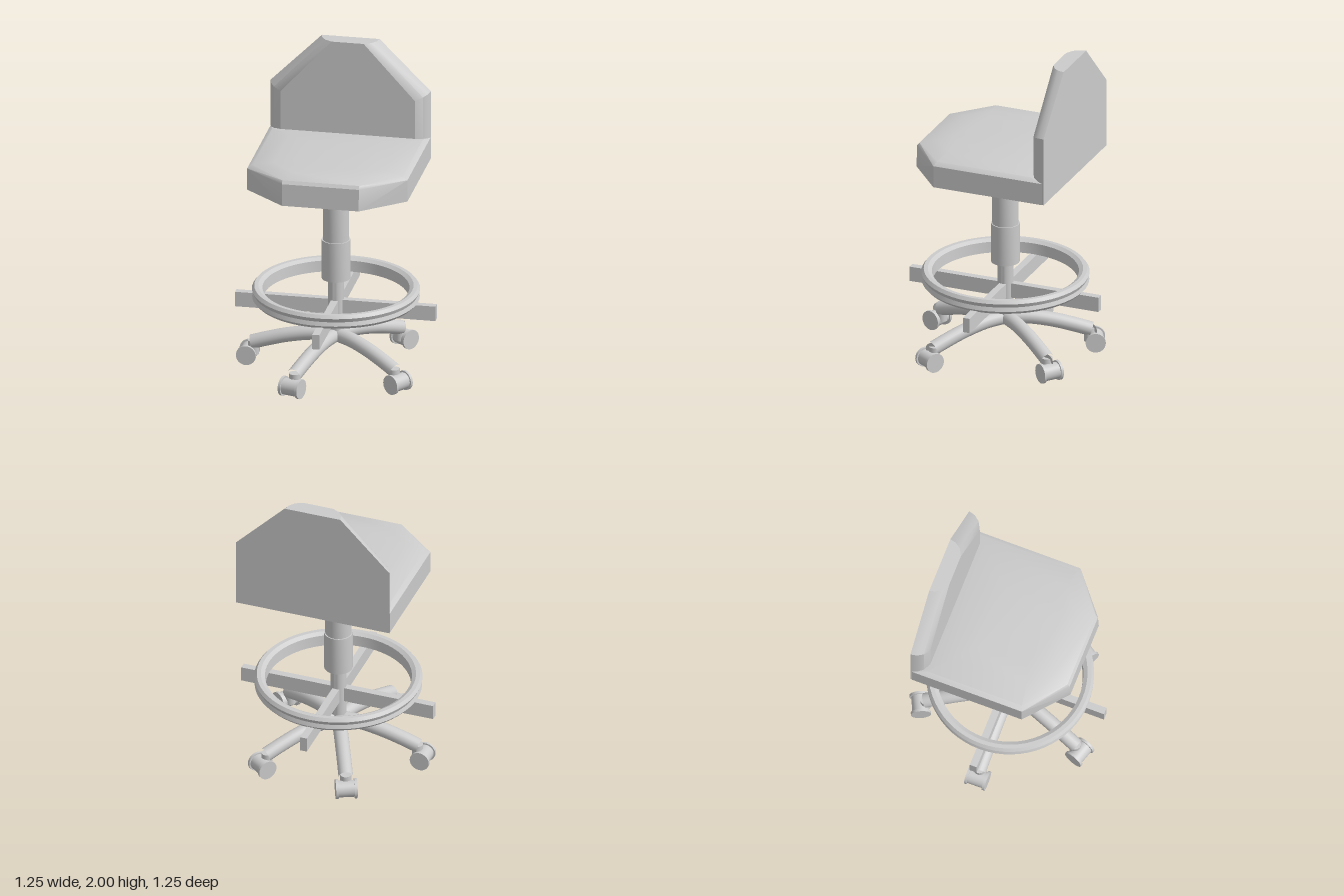
import * as THREE from 'three';
import { toCreasedNormals } from 'three/addons/utils/BufferGeometryUtils.js';
import { ConvexGeometry } from 'three/addons/geometries/ConvexGeometry.js';

const grey = new THREE.MeshStandardMaterial({ color: 0xcccccc });

function add(parent, name, geometry, x = 0, y = 0, z = 0) {
  const mesh = new THREE.Mesh(geometry, grey);
  mesh.name = name;
  mesh.position.set(x, y, z);
  parent.add(mesh);
  return mesh;
}

// Lathe from [radius, height] pairs, keeping sharp profile corners
function turned(profile, segments = 48) {
  const points = profile.map(([r, y]) => new THREE.Vector2(r, y));
  return toCreasedNormals(new THREE.LatheGeometry(points, segments), 0.5);
}

const mirrored = (list) => list.flatMap(([x, y, z]) => [new THREE.Vector3(x, y, z), new THREE.Vector3(-x, y, z)]);

// Cushion: stacked outlines with clipped front corners
function seatGeometry() {
  // y, half width, back z, side corner z, front corner x, front z
  const layers = [
    [1.21, 0.38, -0.30, 0.23, 0.18, 0.40],
    [1.24, 0.50, -0.45, 0.27, 0.24, 0.49],
    [1.38, 0.50, -0.45, 0.27, 0.24, 0.485],
    [1.40, 0.47, -0.36, 0.26, 0.24, 0.47],
    [1.42, 0.34, -0.24, 0.24, 0.20, 0.37],
    [1.43, 0.22, -0.14, 0.20, 0.14, 0.28],
  ];
  const points = layers.flatMap(([y, w, back, sideZ, frontX, front]) =>
    mirrored([[w, y, back], [w, y, sideZ], [frontX, y, front]]));
  return toCreasedNormals(new ConvexGeometry(points), 0.5);
}

// Backrest: tapered panel with softened front edges
function backrestGeometry() {
  const layers = [[-0.46, 0], [-0.42, 0.01], [-0.385, 0.035], [-0.36, 0.08]]; // z, inset
  const points = layers.flatMap(([z, inset]) => mirrored([
    [0.5 - inset, 1.24, z],
    [0.5 - inset, 1.68 - inset * 0.4, z],
    [0.18 - inset, 2, z],
  ]));
  return toCreasedNormals(new ConvexGeometry(points), 0.5);
}

export function createModel() {
  const chair = new THREE.Group();
  chair.name = 'draftingChair';

  add(chair, 'seat', seatGeometry());
  add(chair, 'backrest', backrestGeometry());

  // Telescoping column
  add(chair, 'column', turned([
    [0, 0.19], [0.05, 0.19], [0.05, 0.595], [0.088, 0.595], [0.088, 0.85],
    [0.081, 0.85], [0.081, 1.09], [0.069, 1.09], [0.069, 1.23],
  ], 32));

  // Foot ring and its crossed supports
  add(chair, 'footRing', turned([
    [0.445, 0.46], [0.495, 0.455], [0.513, 0.475], [0.504, 0.5], [0.515, 0.525],
    [0.5, 0.545], [0.475, 0.545], [0.45, 0.53], [0.445, 0.46],
  ], 64));
  add(chair, 'footRingBarAcross', new THREE.BoxGeometry(1.25, 0.095, 0.045), 0, 0.413, 0);
  add(chair, 'footRingBarDeep', new THREE.BoxGeometry(0.045, 0.095, 1.25), 0, 0.413, 0);

  // Five bent legs with casters
  const path = new THREE.CatmullRomCurve3([
    [0, 0.225], [0.15, 0.222], [0.3, 0.197], [0.42, 0.165], [0.525, 0.132],
  ].map(([x, y]) => new THREE.Vector3(x, y, 0)));
  const legGeometry = new THREE.TubeGeometry(path, 20, 0.045, 20);
  const capGeometry = new THREE.CircleGeometry(0.045, 20);
  const wheelGeometry = turned([
    [0, -0.066], [0.062, -0.066], [0.062, -0.05], [0.052, -0.05],
    [0.052, 0.05], [0.062, 0.05], [0.062, 0.066], [0, 0.066],
  ], 32);
  const stemGeometry = new THREE.CylinderGeometry(0.035, 0.035, 0.09, 20);

  for (const degrees of [180, 108, 35, -52, -115]) {
    const leg = new THREE.Group();
    leg.name = 'leg';
    leg.rotation.y = -THREE.MathUtils.degToRad(degrees);
    add(leg, 'legTube', legGeometry);
    const cap = add(leg, 'legEnd', capGeometry, 0.525, 0.132, 0);
    cap.lookAt(path.getPoint(1).add(path.getTangent(1)));
    add(leg, 'casterStem', stemGeometry, 0.515, 0.1, 0);
    add(leg, 'casterWheel', wheelGeometry, 0.55, 0.0625, 0).rotation.x = Math.PI / 2;
    chair.add(leg);
  }
  return chair;
}
